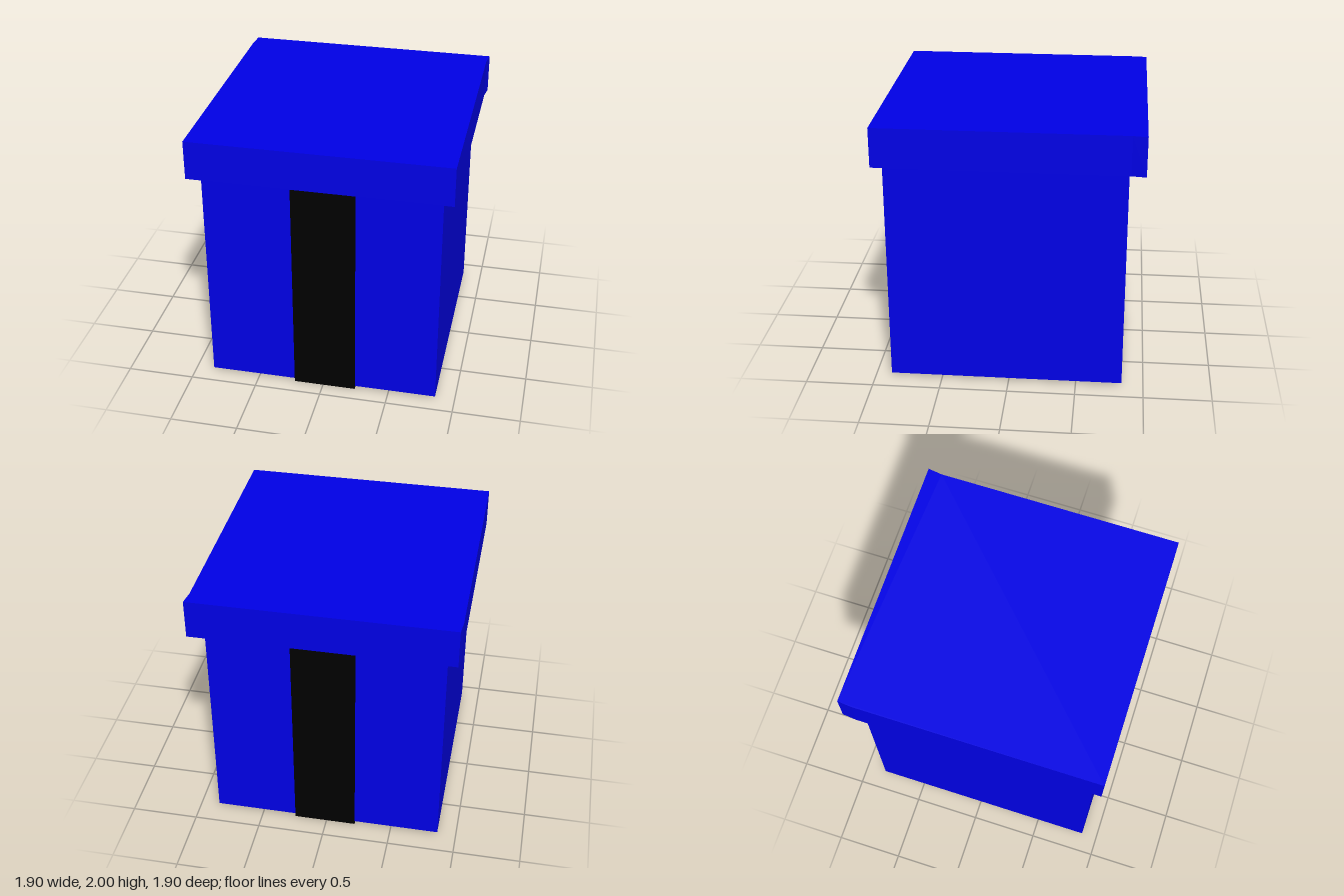
import * as THREE from 'three';

export function createModel() {
  const group = new THREE.Group();
  const blue = new THREE.MeshStandardMaterial({ color: 0x0000e8 });
  const black = new THREE.MeshStandardMaterial({ color: 0x000000 });

  function add(name, geometry, material) {
    const mesh = new THREE.Mesh(geometry, material);
    mesh.name = name;
    group.add(mesh);
  }

  // Box given by its lower and upper corners
  function block([x0, y0, z0], [x1, y1, z1]) {
    return new THREE.BoxGeometry(x1 - x0, y1 - y0, z1 - z0)
      .translate((x0 + x1) / 2, (y0 + y1) / 2, (z0 + z1) / 2);
  }

  add('boxBody', block([-0.86, 0.025, -0.84], [0.855, 1.72, 0.88]), blue);

  // Ribbon wraps the front, bottom and back, slightly proud of the body
  add('ribbon', block([-0.22, 0, -0.845], [0.245, 1.715, 0.885]), black);

  // Lid outline, with the back edge slightly skewed to the left
  const outline = [
    [-0.95, 0.95], [0.935, 0.95], [0.935, -0.85],
    [0.95, -0.955], [-0.94, -0.955], [-0.95, -0.85],
  ].map(([x, z]) => new THREE.Vector2(x, -z));
  const lid = new THREE.ExtrudeGeometry(new THREE.Shape(outline), { depth: 0.29, bevelEnabled: false })
    .rotateX(-Math.PI / 2)
    .translate(0, 1.71, 0);
  add('lid', lid, blue);

  return group;
}
